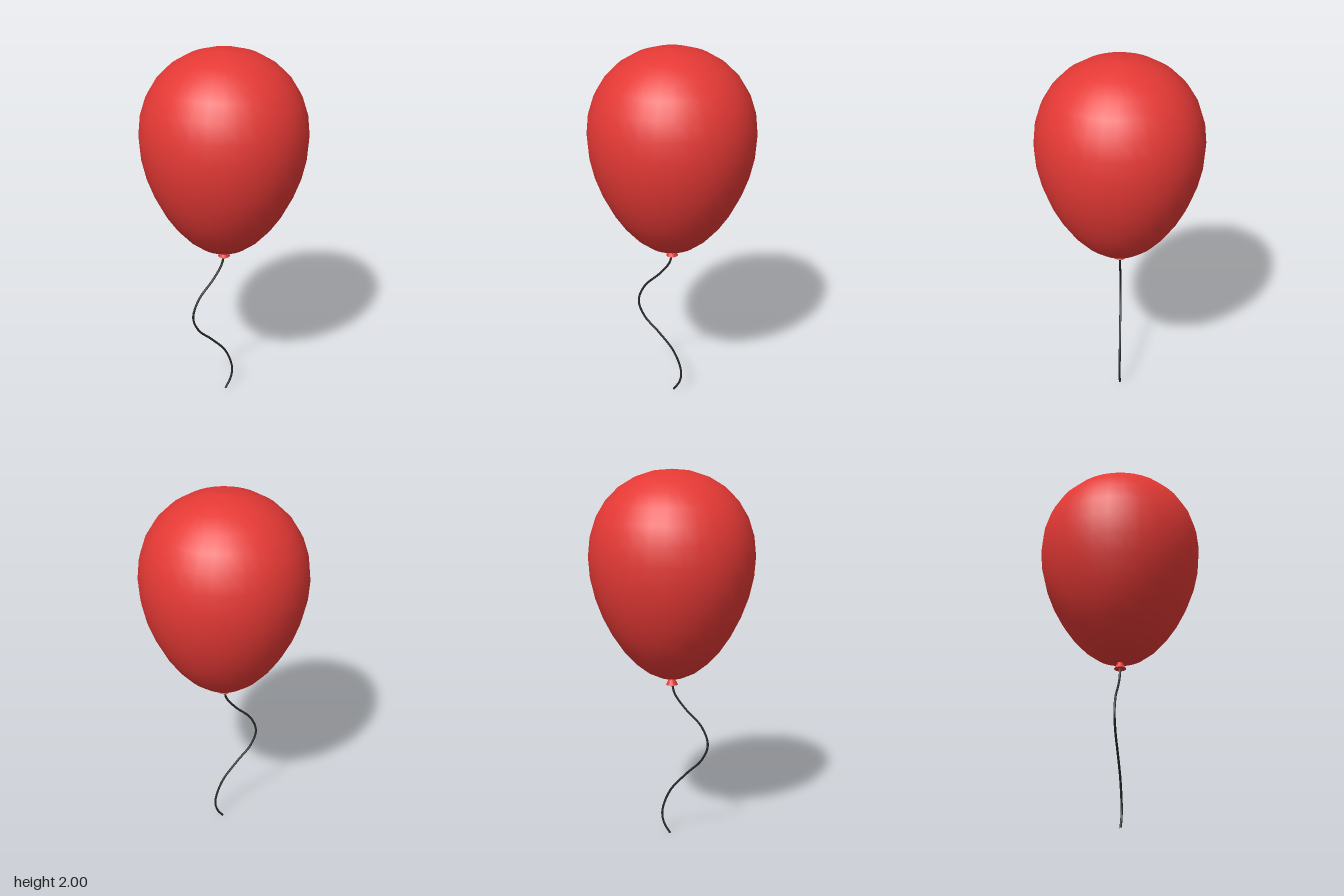
import * as THREE from 'three';

export function createModel() {
  const group = new THREE.Group();
  const red = new THREE.MeshStandardMaterial({ color: 0xe53935 });
  const dark = new THREE.MeshStandardMaterial({ color: 0x2a2a2a });
  const add = (name, geometry, material) => {
    const mesh = new THREE.Mesh(geometry, material);
    mesh.name = name;
    group.add(mesh);
    return mesh;
  };

  // Balloon body: a tall ellipsoid tapered towards the bottom
  const profile = [];
  const rows = 16;
  for (let i = 0; i <= rows; i++) {
    const a = (i / rows) * Math.PI;
    const t = -Math.cos(a);
    const r = i % rows === 0 ? 0 : 0.428 * Math.sin(a) * (1 + 0.2 * t);
    profile.push(new THREE.Vector2(r, 1.447 + 0.553 * t));
  }
  add('balloon', new THREE.LatheGeometry(profile, 32), red);

  // Tied knot under the body
  add('knot', new THREE.ConeGeometry(0.032, 0.06, 16), red).position.y = 0.89;

  // Wavy string, lying in the x-y plane
  const path = new THREE.CatmullRomCurve3([
    [0, 0.87], [-0.015, 0.81], [-0.07, 0.735], [-0.165, 0.635], [-0.2, 0.535], [-0.165, 0.445],
    [-0.085, 0.365], [0.01, 0.255], [0.055, 0.13], [0.045, 0.06], [0.01, 0.004],
  ].map(([x, y]) => new THREE.Vector3(x, y, 0)));
  add('string', new THREE.TubeGeometry(path, 64, 0.006, 8), dark);

  return group;
}
